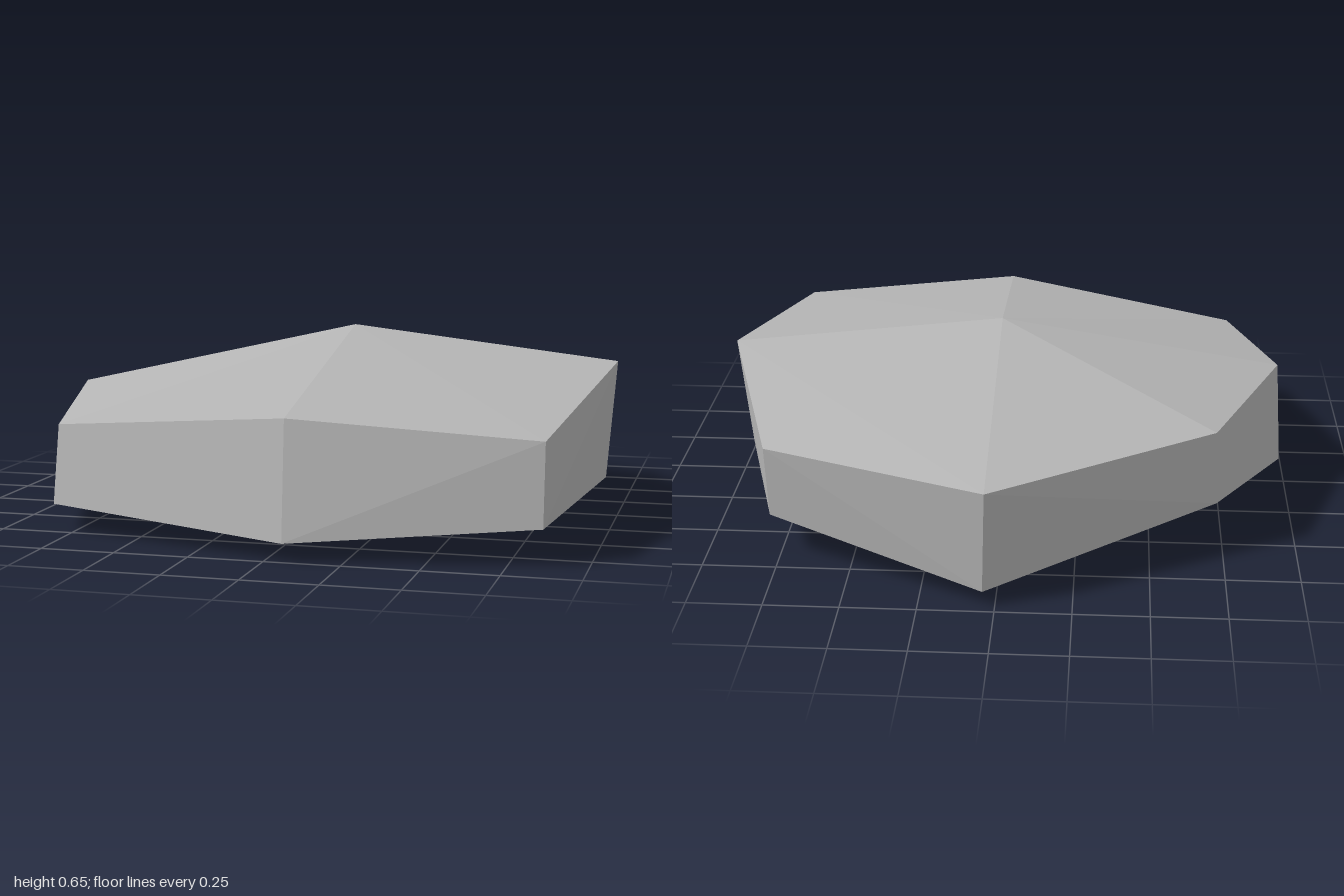
import * as THREE from 'three';
import { ConvexGeometry } from 'three/addons/geometries/ConvexGeometry.js';

export function createModel() {
  const group = new THREE.Group();
  group.name = 'rock';

  const stone = new THREE.MeshStandardMaterial({ color: 0xb4b4b4 });
  stone.name = 'grey stone';

  // Upper rim, counterclockwise from the front
  const upperRim = [
    [0.05, 0.445, 0.93], [0.86, 0.39, 0.84], [0.985, 0.54, -0.07], [0.785, 0.405, -0.68],
    [0.03, 0.42, -1.0], [-0.71, 0.457, -0.58], [-0.96, 0.43, 0.08], [-0.81, 0.36, 0.7],
  ];
  // Lower rim, same order
  const lowerRim = [
    [0.06, 0.06, 1.0], [0.86, 0.12, 0.865], [0.955, 0.13, -0.03], [0.78, 0.148, -0.655],
    [0.04, 0.055, -0.97], [-0.72, 0.2, -0.585], [-0.99, 0.04, 0.11], [-0.815, 0.095, 0.745],
  ];
  // Shallow peaks above and below
  const peaks = [[0.03, 0.648, -0.07], [-0.13, 0, 0]];

  // Flat facets wrapped around all the corners
  const corners = [...upperRim, ...lowerRim, ...peaks].map((p) => new THREE.Vector3(...p));
  const boulder = new THREE.Mesh(new ConvexGeometry(corners), stone);
  boulder.name = 'boulder';
  group.add(boulder);
  return group;
}
